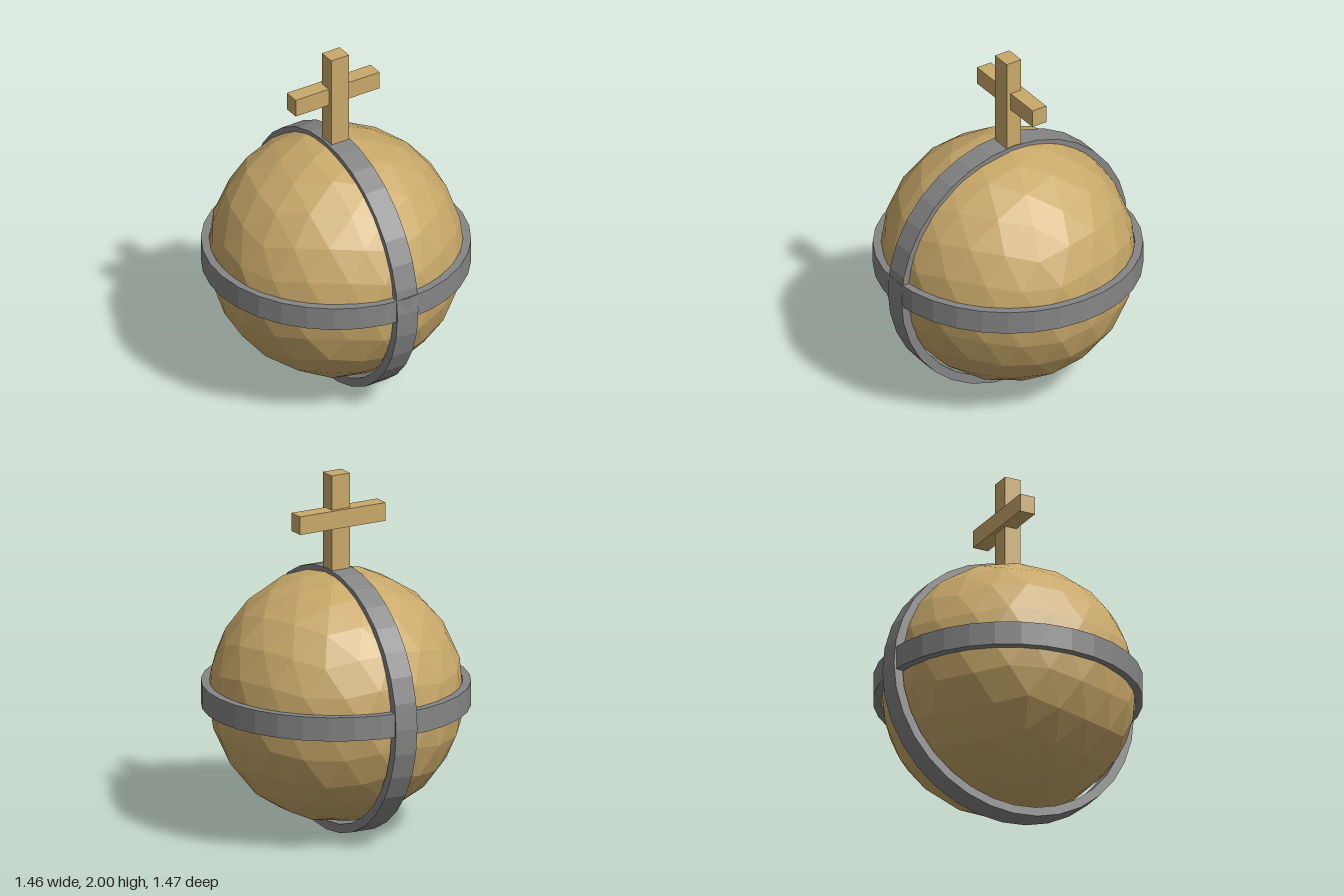
import * as THREE from 'three';

const gold = new THREE.MeshStandardMaterial({ color: 0xc9a96a, flatShading: true });
const grey = new THREE.MeshStandardMaterial({ color: 0x858585, flatShading: true });

function add(group, name, geometry, material, x, y, z) {
  const mesh = new THREE.Mesh(geometry, material);
  mesh.name = name;
  mesh.position.set(x, y, z);
  group.add(mesh);
  return mesh;
}

// Icosphere with a vertex at each pole, slightly uneven like hammered metal
function ballGeometry(radius) {
  const coarse = new THREE.IcosahedronGeometry(1, 1);
  const corners = Array.from(coarse.attributes.position.array);
  const order = corners.slice(0, corners.length / 3).map((_, i) => i);
  const geo = new THREE.PolyhedronGeometry(corners, order, radius, 1);
  geo.rotateX(-Math.atan((1 + Math.sqrt(5)) / 2));
  const pos = geo.attributes.position;
  const v = new THREE.Vector3();
  for (let i = 0; i < pos.count; i++) {
    v.fromBufferAttribute(pos, i);
    const wobble = Math.sin(v.x * 23 + 1) * Math.sin(v.y * 19 + 2) * Math.sin(v.z * 21 + 0.5);
    v.multiplyScalar(1 + 0.012 * wobble);
    pos.setXYZ(i, v.x, v.y, v.z);
  }
  geo.computeVertexNormals();
  return geo;
}

// Flat hoop with a rectangular section
function hoopGeometry(inner, outer, width) {
  const h = width / 2;
  const section = [[inner, -h], [outer, -h], [outer, h], [inner, h], [inner, -h]];
  return new THREE.LatheGeometry(section.map(([x, y]) => new THREE.Vector2(x, y)), 32);
}

export function createModel() {
  const group = new THREE.Group();
  group.name = 'orb';

  add(group, 'ball', ballGeometry(0.695), gold, 0, 0.76, 0);

  // Bands around the ball
  add(group, 'horizontalBand', hoopGeometry(0.685, 0.73, 0.133), grey, 0, 0.767, 0);
  const upright = add(group, 'verticalBand', hoopGeometry(0.685, 0.735, 0.133), grey, -0.007, 0.736, -0.003);
  upright.rotation.z = Math.PI / 2;

  // Cross on top, its bar set a little towards the back
  add(group, 'crossPost', new THREE.BoxGeometry(0.114, 0.56, 0.094), gold, -0.002, 1.72, -0.002);
  add(group, 'crossBar', new THREE.BoxGeometry(0.537, 0.102, 0.09), gold, -0.002, 1.756, -0.025);

  return group;
}
